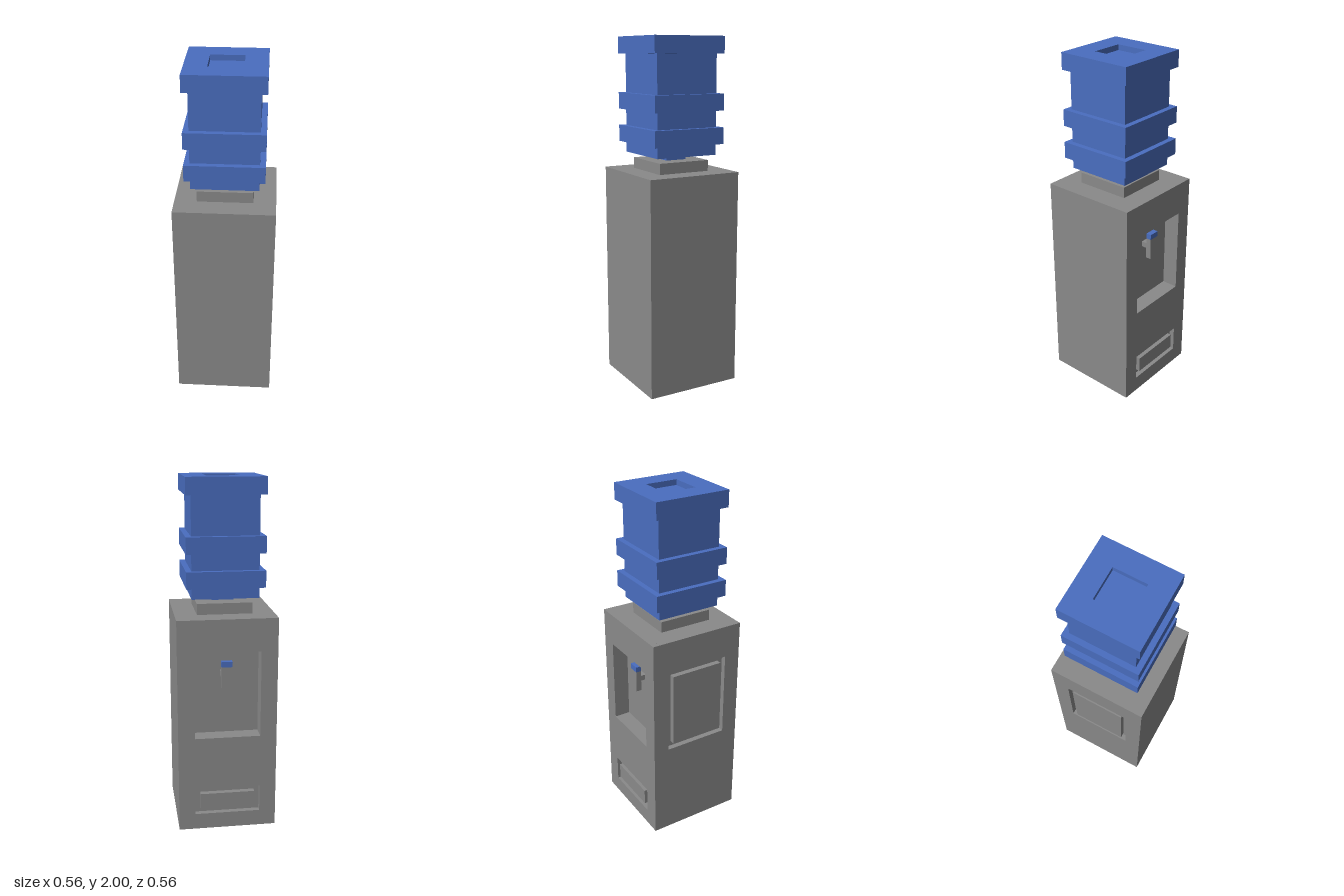
import * as THREE from 'three';

// All sizes are in grid units; 32 grid units make one model unit.
const UNIT = 1 / 32;

export function createModel() {
  const model = new THREE.Group();
  model.name = 'waterCooler';
  model.scale.setScalar(UNIT);

  const grey = new THREE.MeshStandardMaterial({ color: 0x8a8a8a });
  grey.name = 'casing grey';
  const blue = new THREE.MeshStandardMaterial({ color: 0x4a6ec0 });
  blue.name = 'bottle blue';

  const add = (name, geometry, material) => {
    const mesh = new THREE.Mesh(geometry, material);
    mesh.name = name;
    model.add(mesh);
    return mesh;
  };

  // Box given by its low and high limits on each axis
  const block = (name, material, [x0, x1], [y0, y1], [z0, z1]) =>
    add(name, new THREE.BoxGeometry(x1 - x0, y1 - y0, z1 - z0), material)
      .position.set((x0 + x1) / 2, (y0 + y1) / 2, (z0 + z1) / 2);

  // Centred square block, for everything stacked on the vertical axis
  const tier = (name, material, half, y0, y1) =>
    block(name, material, [-half, half], [y0, y1], [-half, half]);

  const corners = ([x0, x1, y0, y1]) => [
    new THREE.Vector2(x0, y0), new THREE.Vector2(x1, y0),
    new THREE.Vector2(x1, y1), new THREE.Vector2(x0, y1),
  ];

  // Rectangular plate with rectangular openings, extruded along its local z
  const plate = (name, material, outline, openings, depth) => {
    const shape = new THREE.Shape(corners(outline));
    for (const o of openings) shape.holes.push(new THREE.Path(corners(o).reverse()));
    return add(name, new THREE.ExtrudeGeometry(shape, { depth, bevelEnabled: false }), material);
  };

  // Casing: solid core with pierced plates on the back and the right side
  const bay = [-6, 6, 18, 34];
  const trayBay = [-6, 6, 3, 8];
  block('casingCore', grey, [-8, 9], [0, 40], [-6, 9]);
  plate('bayInnerPlate', grey, [-8, 9, 0, 40], [bay], 2).position.z = -8;
  plate('bayOuterPlate', grey, [-8, 9, 0, 40], [bay, trayBay], 1).position.z = -9;
  const side = plate('sidePlate', grey, [-9, 9, 0, 40], [bay], 1);
  side.rotation.y = -Math.PI / 2;
  side.position.x = -8;

  // Flush panels surrounded by a groove
  block('sidePanel', grey, [-9, -8], [19, 33], [-5, 5]);
  block('dripTray', grey, [-5, 5], [4, 7], [-9, -8]);

  // Tap inside the dispensing bay
  block('tapBody', grey, [-1, 1], [27, 31], [-8, -7]);
  block('tapCap', blue, [-1, 1], [31, 32], [-8, -7]);
  block('tapStem', grey, [-1, 1], [29, 30], [-7, -6]);

  // Collar and bottle
  tier('collar', grey, 5, 40, 42);
  tier('bottleNeck', blue, 2, 42, 43);
  tier('bottleBody', blue, 6, 43, 61);
  for (const y of [45, 51]) tier('bottleBand', blue, 7, y, y + 3);

  // Top band with a shallow square dent
  tier('topBand', blue, 7, 61, 63);
  const rim = plate('topRim', blue, [-7, 7, -7, 7], [[-3, 3, -3, 3]], 1);
  rim.rotation.x = -Math.PI / 2;
  rim.position.y = 63;

  return model;
}
